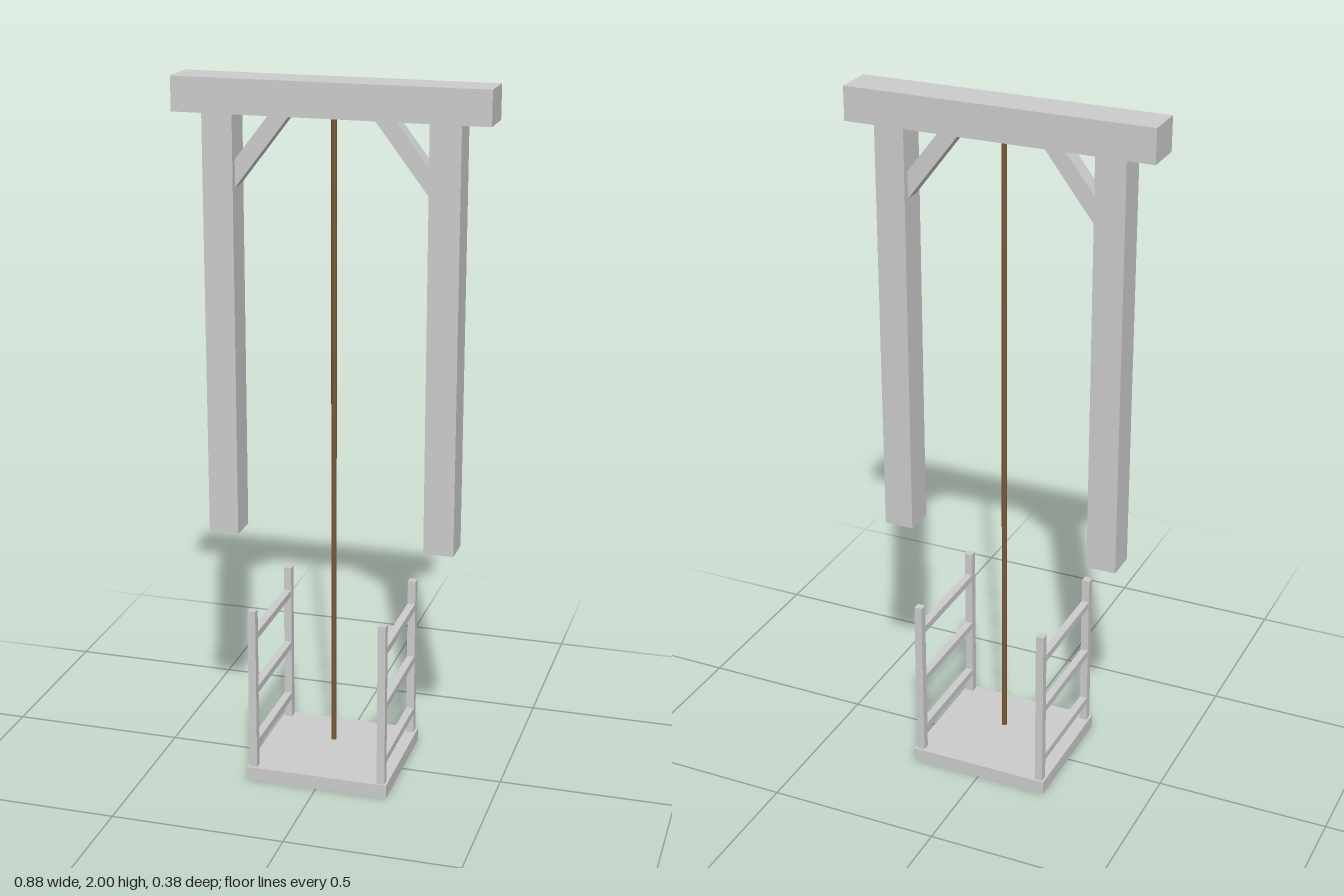
import * as THREE from 'three';

const grey = new THREE.MeshStandardMaterial({ color: 0xcccccc, flatShading: true });
const brown = new THREE.MeshStandardMaterial({ color: 0x7a5a34 });

export function createModel() {
  const model = new THREE.Group();
  model.name = 'ropeLift';

  const add = (name, geometry, x = 0, y = 0, z = 0, material = grey) => {
    const mesh = new THREE.Mesh(geometry, material);
    mesh.name = name;
    mesh.position.set(x, y, z);
    model.add(mesh);
    return mesh;
  };
  const box = (name, w, h, d, x, y, z) => add(name, new THREE.BoxGeometry(w, h, d), x, y, z);

  // Overhead frame
  box('crossBeam', 0.88, 0.096, 0.115, 0, 1.952, 0);

  // Lift platform and the rope above it
  box('platform', 0.416, 0.04, 0.376, 0, 0.02, 0);
  add('rope', new THREE.CylinderGeometry(0.008, 0.008, 1.837, 8), 0, 0.9865, 0, brown);

  for (const side of [1, -1]) {
    const name = side > 0 ? 'left' : 'right';
    box(name + 'Post', 0.086, 1.204, 0.09, side * 0.315, 1.302, 0);

    // Diagonal brace between post and beam
    const corners = [[0.272, 1.70], [0.272, 1.777], [0.174, 1.904], [0.116, 1.904]];
    const brace = new THREE.Shape(corners.map(([x, y]) => new THREE.Vector2(side * x, y)));
    add(name + 'Brace', new THREE.ExtrudeGeometry(brace, { depth: 0.05, bevelEnabled: false }), 0, 0, -0.025);

    // Side railing: two uprights and three rails
    const railX = side * 0.19;
    for (const end of [1, -1]) {
      box(name + (end > 0 ? 'Front' : 'Back') + 'Upright', 0.023, 0.486, 0.023, railX, 0.283, end * 0.17);
    }
    for (let i = 0; i < 3; i++) {
      box(name + 'Rail' + (i + 1), 0.022, 0.021, 0.318, railX, 0.109 + i * 0.168, 0);
    }
  }
  return model;
}
